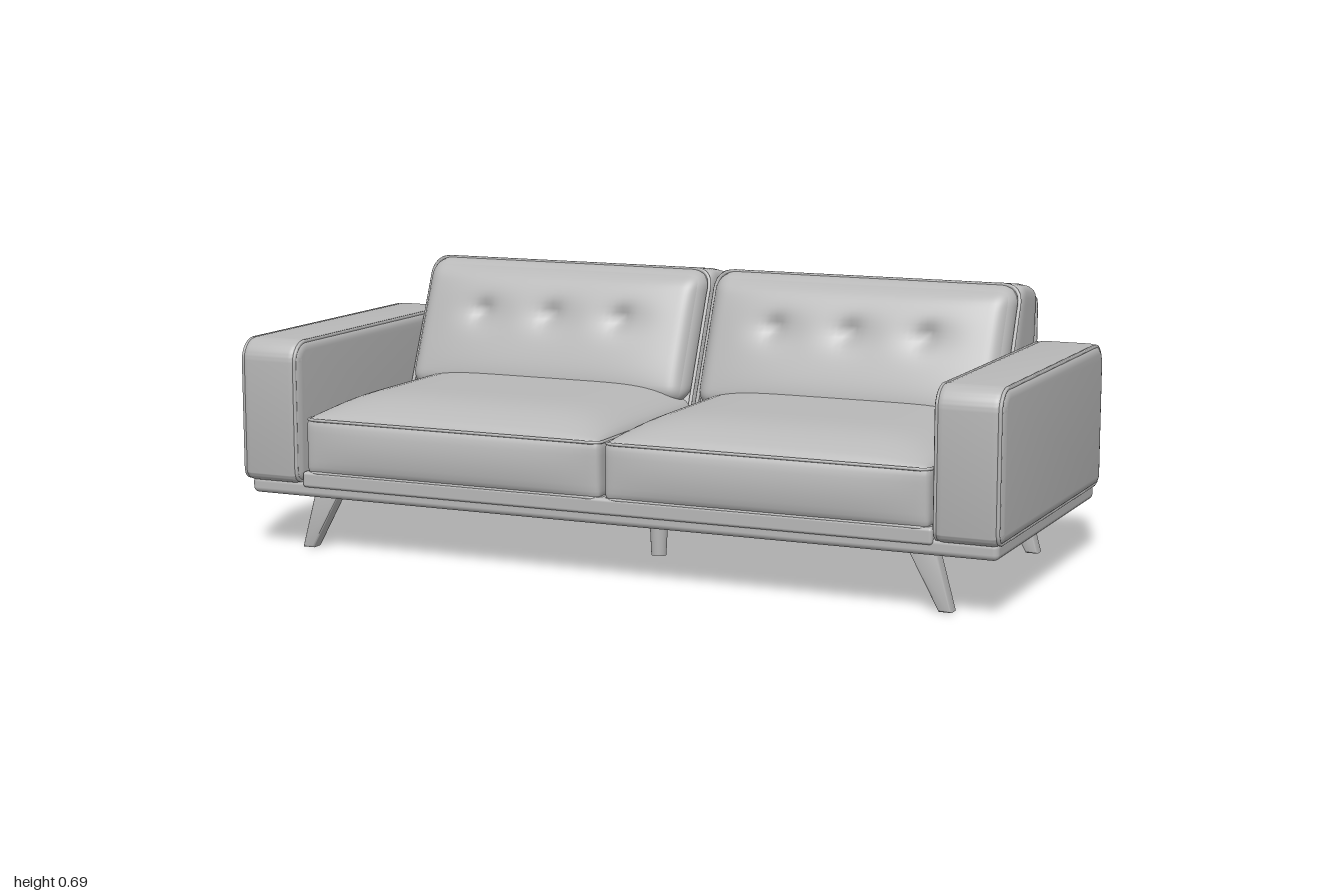
import * as THREE from 'three';
import { mergeVertices, toCreasedNormals } from 'three/addons/utils/BufferGeometryUtils.js';
import { RoundedBoxGeometry } from 'three/addons/geometries/RoundedBoxGeometry.js';

const upholstery = new THREE.MeshStandardMaterial({ color: 0xb8b8b8 });
upholstery.name = 'grey upholstery';

function add(parent, name, geometry, x = 0, y = 0, z = 0) {
  const mesh = new THREE.Mesh(geometry, upholstery);
  mesh.name = name;
  mesh.position.set(x, y, z);
  parent.add(mesh);
  return mesh;
}

// Smooth rounded block, finely divided near its edges; deform(v, n) then shapes it,
// with n the position in the block from -1 to 1
function softBlock(w, h, d, r, segments, deform) {
  const g = new THREE.BoxGeometry(2, 2, 2, ...segments);
  g.deleteAttribute('uv');
  g.deleteAttribute('normal');
  const half = new THREE.Vector3(w / 2, h / 2, d / 2);
  const inner = half.clone().subScalar(r);
  const low = inner.clone().negate();
  const p = g.attributes.position;
  const warp = (t) => Math.sin((t * Math.PI) / 2);
  for (let i = 0; i < p.count; i++) {
    const n = new THREE.Vector3(warp(p.getX(i)), warp(p.getY(i)), warp(p.getZ(i)));
    const v = n.clone().multiply(half);
    const core = v.clone().clamp(low, inner);
    v.sub(core).normalize().multiplyScalar(r).add(core);
    if (deform) deform(v, n);
    p.setXYZ(i, v.x, v.y, v.z);
  }
  const merged = mergeVertices(g, 1e-5);
  merged.computeVertexNormals();
  return merged;
}

// Rounded rectangle with separate top and bottom corner radii
function roundedRect(w, h, rt, rb) {
  const x = w / 2, y = h / 2;
  const s = new THREE.Shape();
  s.moveTo(-x + rb, -y);
  s.lineTo(x - rb, -y);
  s.absarc(x - rb, -y + rb, rb, -Math.PI / 2, 0);
  s.lineTo(x, y - rt);
  s.absarc(x - rt, y - rt, rt, 0, Math.PI / 2);
  s.lineTo(-x + rt, y);
  s.absarc(-x + rt, y - rt, rt, Math.PI / 2, Math.PI);
  s.lineTo(-x, -y + rb);
  s.absarc(-x + rb, -y + rb, rb, Math.PI, Math.PI * 1.5);
  return s;
}

// Piping that follows a rounded rectangle, placed in space by a rule
function piping(shape, place, radius = 0.005) {
  const pts = shape.getSpacedPoints(120).slice(0, -1).map(place);
  const path = new THREE.CatmullRomCurve3(pts, true);
  return new THREE.TubeGeometry(path, 200, radius, 6, true);
}

function buildArm(side) {
  const arm = new THREE.Group();
  arm.name = side > 0 ? 'leftArm' : 'rightArm';
  arm.position.set(side * 0.914, 0.354, 0);
  const bevel = 0.026;
  const g = new THREE.ExtrudeGeometry(roundedRect(0.836, 0.362, 0.055, 0.03), {
    depth: 0.168 - 2 * bevel, bevelEnabled: true, bevelSize: bevel, bevelThickness: bevel,
    bevelOffset: -bevel, bevelSegments: 5, curveSegments: 8,
  });
  g.translate(0, 0, -0.084 + bevel);
  g.rotateY(Math.PI / 2);
  add(arm, 'armBody', toCreasedNormals(g, 0.6));
  for (const s of [-1, 1]) {
    add(arm, 'armPiping', piping(roundedRect(0.824, 0.35, 0.05, 0.025),
      (q) => new THREE.Vector3(s * 0.074, q.y, q.x)));
  }
  return arm;
}

function buildSeatCushion(side) {
  const seat = new THREE.Group();
  seat.name = side > 0 ? 'leftSeatCushion' : 'rightSeatCushion';
  seat.position.set(side * 0.413, 0.27, 0.1);
  add(seat, 'seatBody', softBlock(0.816, 0.144, 0.6, 0.018, [32, 12, 32], (v, n) => {
    const dome = (1 - Math.abs(n.x) ** 6) * (n.z > 0 ? 1 - n.z ** 4 : 1);
    if (v.y > 0) v.y += 0.058 * dome * (v.y / 0.072);
    // the front face swells gently
    if (v.z > 0) v.z += 0.012 * (1 - n.y ** 2) * (1 - n.x ** 4) * (v.z / 0.3);
  }));
  for (const y of [-0.067, 0.067]) {
    add(seat, 'seatPiping', piping(roundedRect(0.812, 0.596, 0.02, 0.02),
      (q) => new THREE.Vector3(q.x, y, q.y), 0.004));
  }
  return seat;
}

// Front plane of the back frame leans backwards with height
const frameFront = (y) => -0.283 + 0.42 * (0.682 - y);

function buildBackrest(side) {
  const back = new THREE.Group();
  back.name = side > 0 ? 'leftBackrest' : 'rightBackrest';
  back.position.x = side * 0.415;

  // Upholstered frame with rounded rear top edge
  add(back, 'backFrame', softBlock(0.822, 0.507, 0.134, 0.028, [24, 24, 12], (v) => {
    v.y += 0.4285;
    const t = (v.z + 0.067) / 0.134;
    v.z = -0.416 + t * (frameFront(v.y) + 0.416);
    v.y -= 0.022 * (1 - t) ** 2 * THREE.MathUtils.smoothstep(v.y, 0.5, 0.68);
  }));
  add(back, 'backFrontPiping', piping(roundedRect(0.812, 0.5, 0.04, 0.02),
    (q) => new THREE.Vector3(q.x, q.y + 0.43, frameFront(q.y + 0.43) - 0.002)));
  add(back, 'backRearPiping', piping(roundedRect(0.814, 0.468, 0.03, 0.02),
    (q) => new THREE.Vector3(q.x, q.y + 0.418, -0.407)));

  // Leaning loose cushion with a row of three tufts
  add(back, 'backCushion', softBlock(0.8, 0.33, 0.115, 0.045, [72, 36, 12], (v, n) => {
    if (v.z > 0) {
      let push = 0.03 * (1 - n.x ** 4) * (1 - n.y ** 4);
      for (const tuft of [-0.2, 0, 0.2]) {
        const dx = v.x - tuft, dy = v.y - 0.04;
        push -= 0.016 * Math.exp(-(dx * dx + dy * dy) / 0.0005);
        push -= 0.012 * Math.exp(-(dx * dx) / 0.004 - (dy * dy) / 0.0015);
      }
      v.z += push * Math.min(1, v.z / 0.04);
    }
    v.y += 0.515;
    v.z += frameFront(v.y) - 0.012;
  }));
  return back;
}

// Splayed, tapering corner leg
function legGeometry() {
  const s = new THREE.Shape([[0.75, 0.15], [0.832, 0], [0.863, 0], [0.822, 0.15]]
    .map(([x, y]) => new THREE.Vector2(x, y)));
  const b = 0.006;
  const g = new THREE.ExtrudeGeometry(s, {
    depth: 0.04 - 2 * b, bevelEnabled: true, bevelSize: b, bevelThickness: b,
    bevelOffset: -b, bevelSegments: 3,
  });
  g.translate(0, 0, -0.02 + b);
  return toCreasedNormals(g, 0.6);
}

export function createModel() {
  const sofa = new THREE.Group();
  sofa.name = 'sofa';

  // Plinth, seat rail and rear panel
  add(sofa, 'plinth', new RoundedBoxGeometry(1.968, 0.042, 0.796, 3, 0.014), 0, 0.16, -0.003);
  add(sofa, 'seatRail', new RoundedBoxGeometry(1.66, 0.04, 0.79, 3, 0.008), 0, 0.185, 0.008);
  add(sofa, 'rearPanel', new RoundedBoxGeometry(1.64, 0.455, 0.024, 3, 0.008), 0, 0.4025, -0.406);

  const leg = legGeometry();
  for (const side of [1, -1]) {
    sofa.add(buildArm(side), buildSeatCushion(side), buildBackrest(side));
    // turning a leg half around gives the one for the other end
    for (const z of [0.335, -0.347]) {
      const mesh = add(sofa, z > 0 ? 'frontLeg' : 'backLeg', leg, 0, 0, z);
      mesh.rotation.y = side > 0 ? 0 : Math.PI;
    }
  }

  // Tapered support leg under the middle
  add(sofa, 'middleLeg', new THREE.CylinderGeometry(0.026, 0.019, 0.15, 20), 0, 0.075, 0.067);
  return sofa;
}
